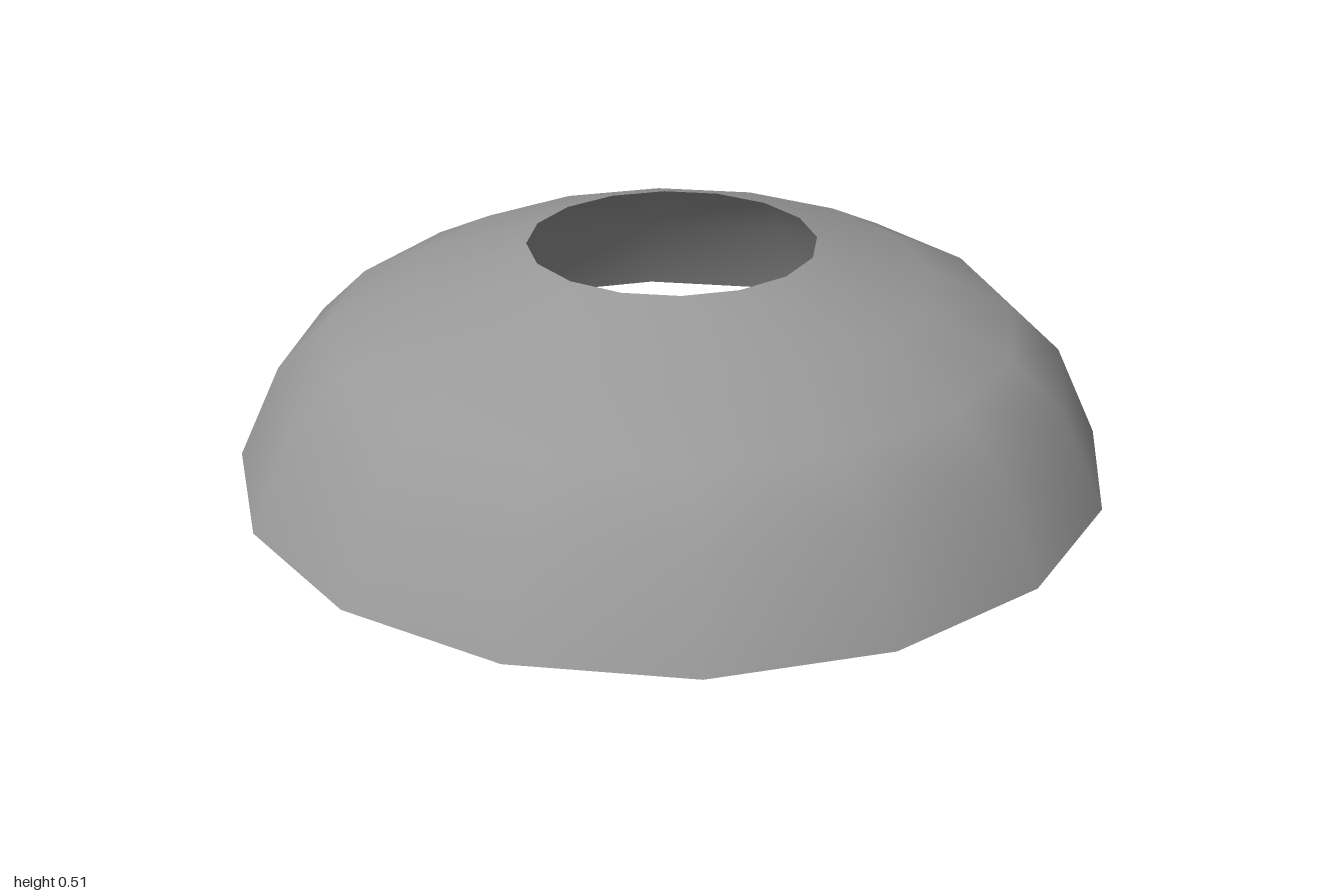
import * as THREE from 'three';

export function createModel() {
  const group = new THREE.Group();
  group.name = 'openDome';

  // Shell profile (radius, height), from the rim up to the open crown
  const profile = [
    [1, 0], [0.9, 0.215], [0.78, 0.33], [0.595, 0.42], [0.327, 0.507],
  ].map(([r, y]) => new THREE.Vector2(r, y));

  // Thin sixteen-sided dome, open at the top and bottom
  const shell = new THREE.Mesh(
    new THREE.LatheGeometry(profile, 16),
    new THREE.MeshStandardMaterial({ color: 0x999999, side: THREE.DoubleSide }),
  );
  shell.name = 'domeShell';
  group.add(shell);

  return group;
}
